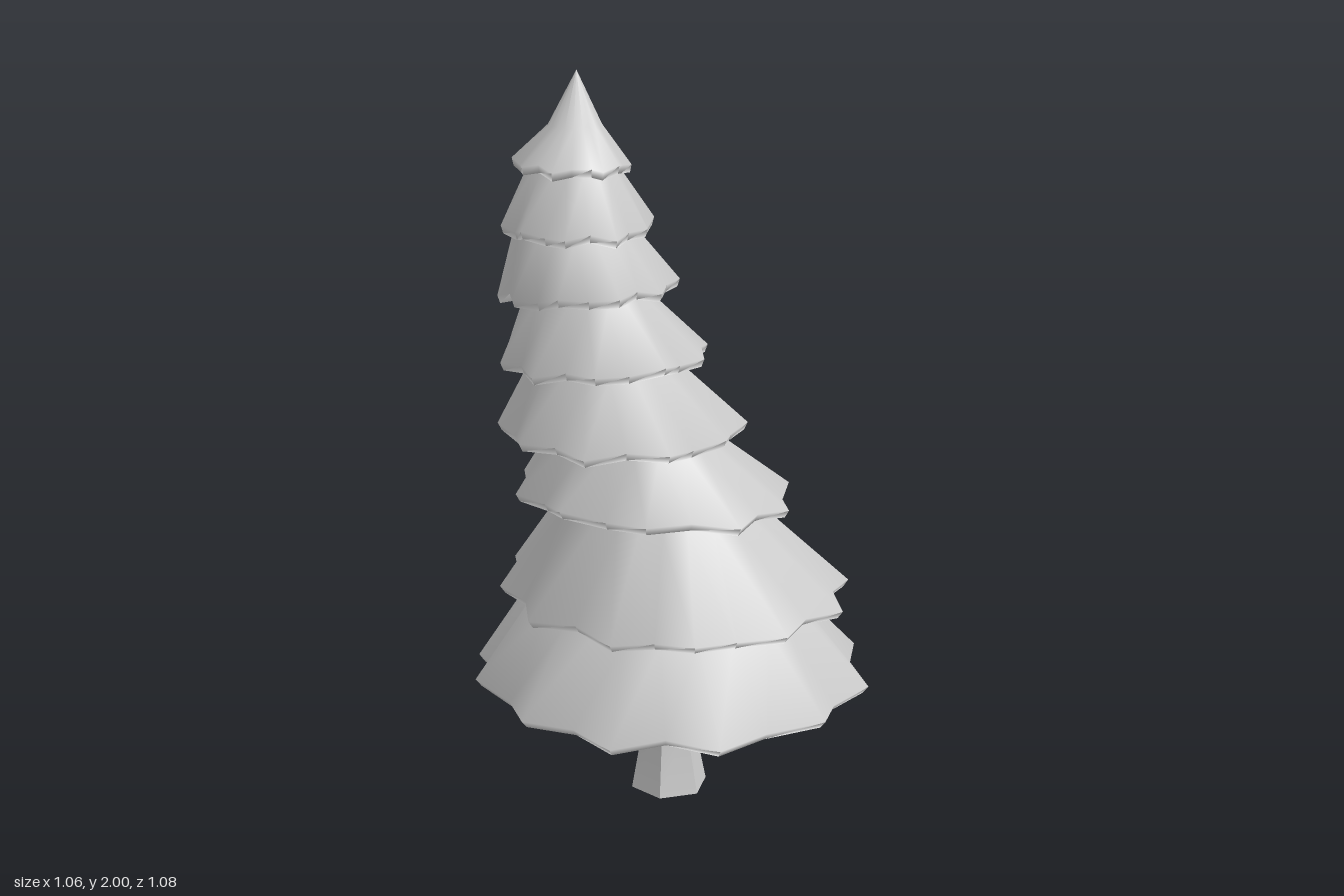
import * as THREE from 'three';
import { toCreasedNormals } from 'three/addons/utils/BufferGeometryUtils.js';

const material = new THREE.MeshStandardMaterial({ color: 0xcccccc });

// Joins rings of points (bottom to top, seen from outside) into a smooth surface.
function loft(rings) {
  const n = rings[0].length;
  const index = [];
  for (let i = 0; i < rings.length - 1; i++) {
    for (let j = 0; j < n; j++) {
      const k = (j + 1) % n;
      const a = i * n + j, b = i * n + k, c = a + n, d = b + n;
      index.push(a, c, b, b, c, d);
    }
  }
  const geometry = new THREE.BufferGeometry();
  geometry.setAttribute('position', new THREE.Float32BufferAttribute(rings.flat(2), 3));
  geometry.setIndex(index);
  geometry.computeVertexNormals();
  return geometry;
}

// Trunk centre line: height, x, radius
const TRUNK = [
  [0, -0.01, 0.105], [0.2, -0.013, 0.067], [0.33, -0.035, 0.062], [0.57, -0.065, 0.055],
  [0.84, -0.12, 0.047], [1.05, -0.18, 0.04], [1.26, -0.25, 0.033], [1.44, -0.3, 0.027], [1.75, -0.335, 0.015],
];

function trunkX(y) {
  const i = TRUNK.findIndex((p) => p[0] >= y);
  if (i < 0) return TRUNK[TRUNK.length - 1][1];
  const [a, b] = [TRUNK[i - 1], TRUNK[i]];
  return THREE.MathUtils.mapLinear(y, a[0], b[0], a[1], b[1]);
}

function createTrunk() {
  const rings = TRUNK.map(([y, cx, r]) => Array.from({ length: 6 }, (_, j) => {
    const t = Math.PI / 2 + (j * Math.PI) / 3;
    return [cx + r * Math.cos(t), y, r * Math.sin(t) - 0.003];
  }));
  // Close both ends with collapsed rings
  const first = TRUNK[0], last = TRUNK[TRUNK.length - 1];
  rings.unshift(rings[0].map(() => [first[1], first[0], 0]));
  rings.push(rings[0].map(() => [last[1], last[0], 0]));
  const trunk = new THREE.Mesh(toCreasedNormals(loft(rings), 0.45), material);
  trunk.name = 'trunk';
  return trunk;
}

// rim and shoulder: [centre x, y, x radius, z radius]; tilt: slope of the rim along x and z; cz: centre z
const TIERS = [
  { rim: [0, 0.343, 0.53, 0.54], shoulder: [-0.04, 0.57, 0.34, 0.375], angles: [0, 27, 61, 90, 124, 154, 183, 215, 236, 270, 296, 328], tilt: [0, 0], cz: 0 },
  { rim: [0.01, 0.582, 0.46, 0.475], shoulder: [-0.07, 0.84, 0.255, 0.255], tips: 12, phase: 0.17, tilt: [-0.01, 0], cz: 0 },
  { rim: [-0.07, 0.87, 0.365, 0.38], shoulder: [-0.15, 1.05, 0.185, 0.225], tips: 10, phase: -0.08, tilt: [-0.08, 0.01], cz: 0 },
  { rim: [-0.17, 1.072, 0.335, 0.305], shoulder: [-0.245, 1.26, 0.175, 0.19], tips: 10, phase: 0.1, tilt: [-0.04, 0], cz: -0.01 },
  { rim: [-0.235, 1.275, 0.275, 0.265], shoulder: [-0.295, 1.44, 0.147, 0.17], tips: 10, phase: -0.1, tilt: [-0.01, 0.05], cz: -0.01 },
  { rim: [-0.285, 1.455, 0.228, 0.225], shoulder: [-0.33, 1.61, 0.15, 0.15], tips: 10, phase: 0.15, tilt: [-0.02, 0.1], cz: -0.015 },
  { rim: [-0.325, 1.625, 0.187, 0.195], shoulder: [-0.34, 1.76, 0.11, 0.125], tips: 10, phase: 0, tilt: [0, 0], cz: -0.01 },
  { rim: [-0.345, 1.78, 0.138, 0.152], shoulder: [-0.332, 1.87, 0.065, 0.065], tips: 10, phase: 0.2, tilt: [-0.03, 0.02], cz: -0.008, peak: [-0.325, 2] },
];

// Evenly spread branch tips, in degrees
const spread = (tips, phase) => Array.from({ length: tips }, (_, i) =>
  THREE.MathUtils.radToDeg(phase) + (i * 360) / tips + 2 * Math.sin(i * 2.3 + tips));

// One hollow skirt of branches with a zigzag rim and a thin lip
function createTier({ rim, shoulder, tips, phase, angles = spread(tips, phase), tilt, cz, peak }, number) {
  // Each tip is followed by a notch halfway to the next tip
  const turns = angles.flatMap((a, i) => {
    const next = i + 1 < angles.length ? angles[i + 1] : angles[0] + 360;
    return [a, (a + next) / 2].map(THREE.MathUtils.degToRad);
  });

  // zigzag: depth of the notches; follow: share of the rim's tilt
  const ring = ([cx, y, rx, rz], zigzag, follow, drop = 0, scale = 1) => turns.map((t, j) => {
    const notch = j % 2 ? 1 - zigzag : 1;
    const x = rx * scale * notch * Math.cos(t);
    const z = rz * scale * notch * Math.sin(t);
    const wobble = 0.008 * Math.sin(j * 2.3 + number * 1.7);
    return [cx + x, y - drop + (tilt[0] * x + tilt[1] * z + wobble) * follow, cz + z];
  });

  // The skirt narrows into the next tier, then closes onto the trunk
  const neckY = shoulder[1] + 0.5 * (shoulder[1] - rim[1]) + 0.05;
  const neck = peak
    ? [peak[0], peak[1], 0, 0]
    : [trunkX(neckY), neckY, shoulder[2] * 0.38, shoulder[3] * 0.38];
  const crown = [neck[0], neck[1] + (peak ? 0 : 0.02), peak ? 0 : 0.015, peak ? 0 : 0.015];

  const rings = [
    ring(crown, 0, 0, 0.03),
    ring(neck, 0, 0, 0.03, 0.9),
    ring(shoulder, 0.03, 0, 0.03, 0.92),
    ring(rim, 0.1, 1, 0.02, 0.97),
    ring(rim, 0.1, 1),
    ring(shoulder, 0.03, 0),
    ring(neck, 0, 0),
    ring(crown, 0, 0),
  ];
  const tier = new THREE.Mesh(loft(rings), material);
  tier.name = `branchTier${number + 1}`;
  return tier;
}

export function createModel() {
  const tree = new THREE.Group();
  tree.name = 'leaningFirTree';
  tree.add(createTrunk());
  TIERS.forEach((tier, i) => tree.add(createTier(tier, i)));
  return tree;
}
